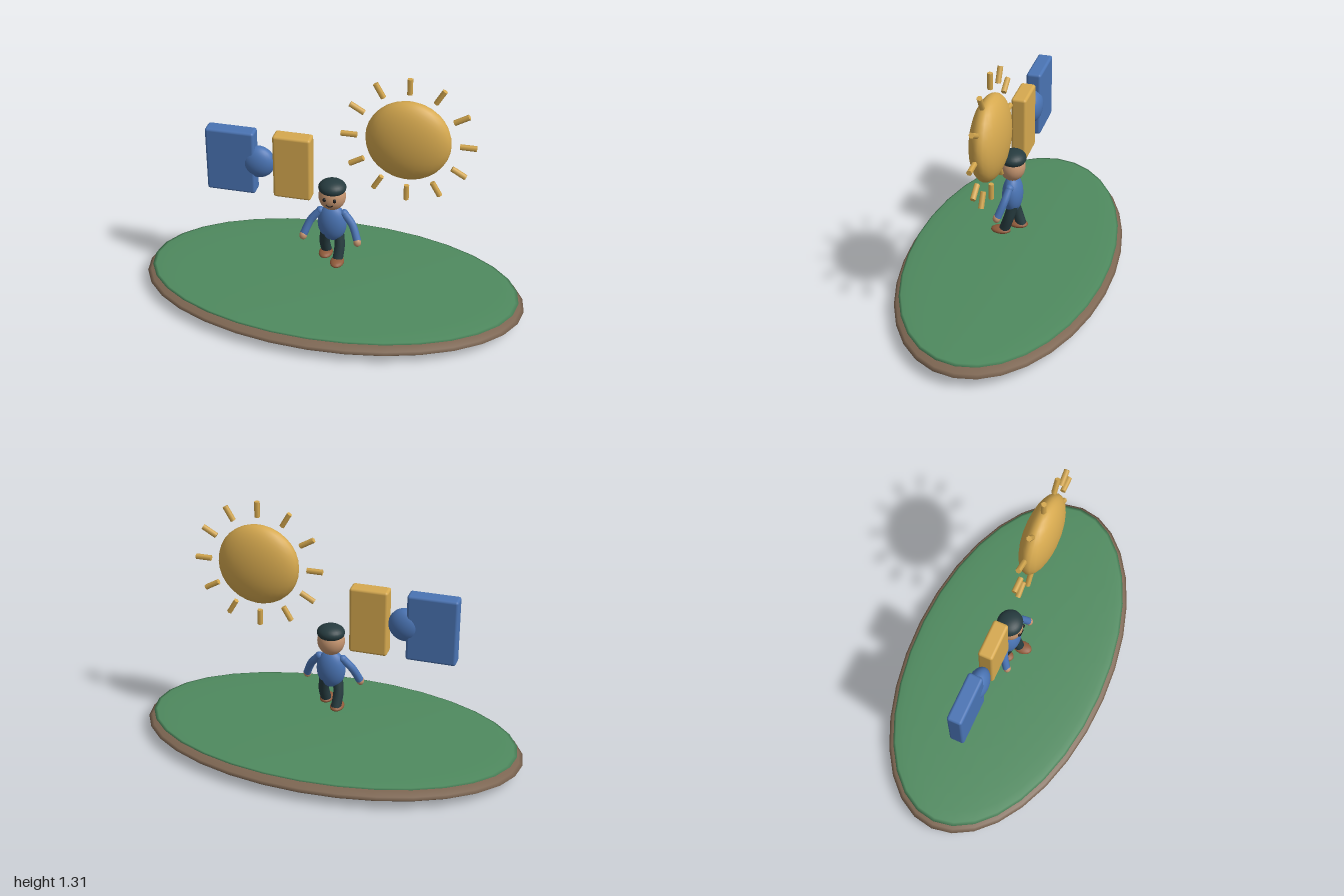
import * as THREE from 'three';
import { RoundedBoxGeometry } from 'three/addons/geometries/RoundedBoxGeometry.js';

const material = (color) => new THREE.MeshStandardMaterial({ color });
const earth = material(0x7d6652);
const grass = material(0x4f8a5f);
const gold = material(0xd6a94f);
const blue = material(0x4a74b4);
const dark = material(0x263b3f);
const skin = material(0xc4946f);
const leather = material(0x8f5a3a);
const ink = material(0x1c1c1c);

function add(parent, name, geometry, mat, x = 0, y = 0, z = 0) {
  const mesh = new THREE.Mesh(geometry, mat);
  mesh.name = name;
  mesh.position.set(x, y, z);
  parent.add(mesh);
  return mesh;
}

// Sphere stretched to three radii
function ellipsoid(parent, name, mat, [x, y, z], [rx, ry, rz], w = 24, h = 16) {
  const mesh = add(parent, name, new THREE.SphereGeometry(1, w, h), mat, x, y, z);
  mesh.scale.set(rx, ry, rz);
  return mesh;
}

// Smooth limb through a few points
function limb(parent, name, mat, points, radius) {
  const curve = new THREE.CatmullRomCurve3(points.map((p) => new THREE.Vector3(...p)));
  return add(parent, name, new THREE.TubeGeometry(curve, 12, radius, 12), mat);
}

function createSun() {
  const sun = new THREE.Group();
  sun.name = 'sun';
  sun.position.set(0.374, 0.978, 0);
  ellipsoid(sun, 'sunDisc', gold, [0, 0, 0], [0.21, 0.21, 0.085]);
  const rayGeometry = new THREE.CylinderGeometry(0.014, 0.014, 0.08, 6);
  for (let i = 0; i < 12; i++) {
    const a = (i / 12) * Math.PI * 2;
    const ray = add(sun, 'sunRay', rayGeometry, gold, Math.cos(a) * 0.291, Math.sin(a) * 0.291, 0);
    ray.rotation.z = a - Math.PI / 2;
  }
  return sun;
}

function createPuzzle() {
  const puzzle = new THREE.Group();
  puzzle.name = 'puzzlePieces';
  add(puzzle, 'bluePiece', new RoundedBoxGeometry(0.252, 0.348, 0.078, 3, 0.014), blue, -0.516, 0.757, 0);
  ellipsoid(puzzle, 'bluePieceKnob', blue, [-0.38, 0.757, 0], [0.087, 0.087, 0.053]);
  add(puzzle, 'goldPiece', new RoundedBoxGeometry(0.194, 0.348, 0.078, 3, 0.014), gold, -0.199, 0.757, 0);
  return puzzle;
}

function createPerson() {
  const person = new THREE.Group();
  person.name = 'person';
  ellipsoid(person, 'torso', blue, [0, 0.452, 0], [0.075, 0.105, 0.052]);
  ellipsoid(person, 'head', skin, [0, 0.61, 0], [0.07, 0.075, 0.064]);
  ellipsoid(person, 'hair', dark, [0, 0.659, -0.003], [0.071, 0.041, 0.066]);

  // Smile: lower arc of a ring
  const smile = add(person, 'mouth', new THREE.TorusGeometry(0.022, 0.003, 6, 12, Math.PI * 0.66), ink, 0, 0.604, 0.062);
  smile.rotation.z = Math.PI * 1.17;

  for (const s of [-1, 1]) {
    const side = s > 0 ? 'left' : 'right';
    ellipsoid(person, side + 'Eye', ink, [s * 0.026, 0.617, 0.059], [0.009, 0.011, 0.008], 12, 8);

    // Arms hang outward and slightly forward
    ellipsoid(person, side + 'Shoulder', blue, [s * 0.062, 0.515, 0], [0.021, 0.021, 0.021], 12, 8);
    limb(person, side + 'Arm', blue,
      [[s * 0.062, 0.515, 0], [s * 0.108, 0.46, 0.014], [s * 0.14, 0.385, 0.04]], 0.02);
    ellipsoid(person, side + 'Hand', skin, [s * 0.141, 0.379, 0.045], [0.02, 0.024, 0.019], 16, 12);

    // Walking stride: left foot forward, right foot back
    const footZ = s > 0 ? 0.052 : -0.018;
    limb(person, side + 'Leg', dark,
      [[s * 0.032, 0.4, -s * 0.01], [s * 0.042, 0.325, s * 0.01], [s * 0.037, 0.25, s * 0.036]], 0.027);
    ellipsoid(person, side + 'Shoe', leather, [s * 0.038, 0.248, footZ], [0.036, 0.018, 0.052], 16, 12);
  }
  return person;
}

export function createModel() {
  const model = new THREE.Group();
  model.name = 'islandScene';

  // Flattened oval ground
  ellipsoid(model, 'earthBase', earth, [0, 0.06, 0], [1, 0.058, 0.545], 32, 16);
  ellipsoid(model, 'grassTop', grass, [0, 0.104, 0], [0.97, 0.02, 0.52], 32, 16);

  model.add(createSun(), createPuzzle(), createPerson());
  return model;
}
